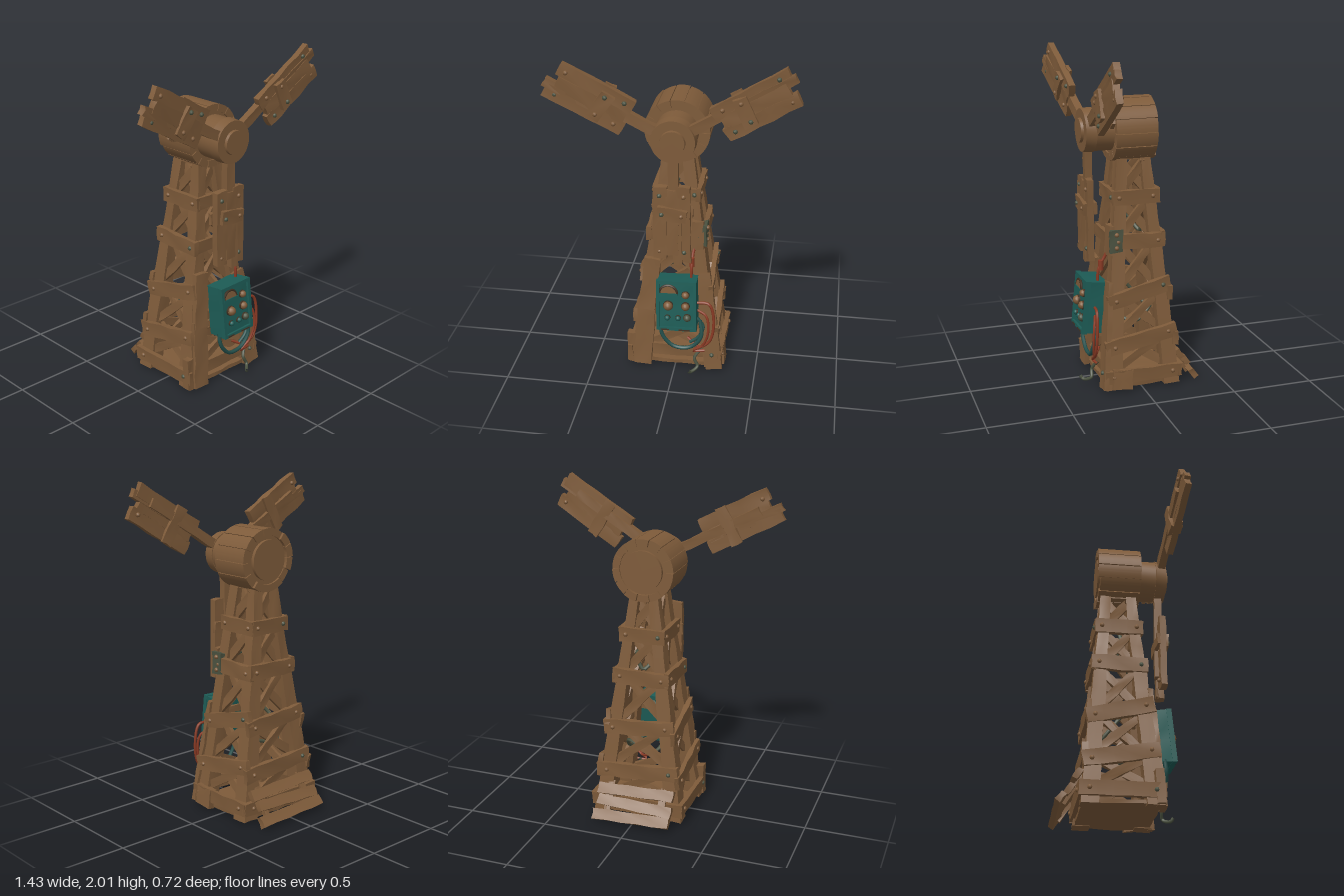
import * as THREE from 'three';
import { toCreasedNormals } from 'three/addons/utils/BufferGeometryUtils.js';

const V = (x, y, z) => new THREE.Vector3(x, y, z);
const material = (name, color) => {
  const m = new THREE.MeshStandardMaterial({ color });
  m.name = name;
  return m;
};

export function createModel() {
  const wood = material('weathered wood', 0x7e5b3a);
  const teal = material('teal paint', 0x1d5c56);
  const tealCable = material('teal cable', 0x24504c);
  const red = material('red cable', 0x8a3a24);
  const metal = material('patina metal', 0x4b5240);
  const dark = material('dark recess', 0x3f3022);
  const model = new THREE.Group();
  model.name = 'windmillTower';

  let seed = 7;
  const rand = () => { seed = (seed * 16807) % 2147483647; return seed / 2147483647 - 0.5; };

  function add(parent, name, geo, mat, pos) {
    const mesh = new THREE.Mesh(geo, mat);
    mesh.name = name;
    if (pos) mesh.position.copy(pos);
    parent.add(mesh);
    return mesh;
  }

  // worn surface: coincident corners get the same small offset
  function wear(geo, amount) {
    const p = geo.attributes.position, s = rand() * 50;
    const noise = (x, y, z, k) => Math.sin(x * 91 + y * 47 + z * 73 + s + k) * Math.cos(x * 37 - y * 83 + z * 59 + k * 2 + s);
    for (let i = 0; i < p.count; i++) {
      const x = p.getX(i), y = p.getY(i), z = p.getZ(i);
      p.setXYZ(i, x + amount * noise(x, y, z, 1), y + amount * noise(x, y, z, 2), z + amount * noise(x, y, z, 3));
    }
    return toCreasedNormals(geo, 0.6);
  }

  // plank between two points, its broad side facing "out"
  function beam(parent, name, a, b, width, thick, out) {
    const len = a.distanceTo(b);
    const geo = wear(new THREE.BoxGeometry(width, len, thick, 2, Math.max(2, Math.round(len / 0.09)), 1), 0.005);
    const y = b.clone().sub(a).normalize();
    const x = y.clone().cross(out).normalize();
    const z = x.clone().cross(y);
    const mesh = add(parent, name, geo, wood, a.clone().lerp(b, 0.5));
    mesh.quaternion.setFromRotationMatrix(new THREE.Matrix4().makeBasis(x, y, z));
    return mesh;
  }

  const boltGeo = new THREE.SphereGeometry(0.014, 8, 6);
  const bolt = (parent, pos, mat = wood) => add(parent, 'bolt', boltGeo, mat, pos);

  function cable(name, pts, r, mat) {
    const curve = new THREE.CatmullRomCurve3(pts.map(p => V(...p)));
    add(model, name, new THREE.TubeGeometry(curve, 32, r, 7), mat);
  }

  // tower taper: half width and half depth at a height
  const hx = y => 0.285 - 0.142 * y, hz = y => 0.232 - 0.092 * y;
  const normals = [V(0, 0, 1), V(1, 0, 0), V(0, 0, -1), V(-1, 0, 0)];
  const onFace = (k, u, y, off = 0) => {
    const s = k < 2 ? 1 : -1;
    return k % 2 ? V(s * (hx(y) + off), y, -s * u * hz(y)) : V(s * u * hx(y), y, s * (hz(y) + off));
  };

  // corner posts
  for (const sx of [1, -1]) for (const sz of [1, -1]) {
    const geo = new THREE.BoxGeometry(1, 1, 1, 2, 14, 2), p = geo.attributes.position;
    for (let i = 0; i < p.count; i++) {
      const y = (p.getY(i) + 0.5) * 1.42, w = 0.1 - 0.028 * y;
      p.setXYZ(i, sx * (hx(y) - w / 2) + p.getX(i) * w, y, sz * (hz(y) - w / 2) + p.getZ(i) * w);
    }
    add(model, 'cornerPost', wear(geo, 0.005), wood);
  }

  // horizontal bands: height, board width, tilt
  const bands = [[0.08, 0.08, 0.0], [0.29, 0.09, 0.04], [0.57, 0.09, 0.045], [0.88, 0.09, -0.005], [1.14, 0.085, 0.0]];
  bands.forEach(([y, w, tilt], level) => {
    for (let k = 1; k < 4; k++) {
      const t = k % 2 ? tilt : tilt * 0.4, e = 1 + 0.016 / (k % 2 ? hz(y) : hx(y));
      beam(model, 'band', onFace(k, -e, y - t, 0.005), onFace(k, e, y + t, 0.005), w, 0.03, normals[k]);
      for (const u of [-0.82, 0.82]) bolt(model, onFace(k, u, y + t * u, 0.018), (level + k) % 3 || u < 0 ? wood : metal);
    }
  });
  // front crosspieces set between the posts
  for (const [y, off] of [[0.095, -0.02], [0.88, 0], [1.14, 0]]) {
    beam(model, 'frontCrosspiece', onFace(0, -0.95, y, off), onFace(0, 0.97, y, off), 0.075, 0.03, normals[0]);
    bolt(model, onFace(0, 0.85, y, 0.016), metal);
  }

  // diagonal braces
  const levels = [0.1, 0.3, 0.57, 0.88, 1.14, 1.36];
  for (let i = 0; i < 5; i++) for (let k = 0; k < 4; k++) {
    if (k === 0 && i === 1) continue;
    const a = levels[i], b = levels[i + 1];
    beam(model, 'brace', onFace(k, -0.8, a, -0.03), onFace(k, 0.8, b, -0.03), 0.048, 0.024, normals[k]);
    beam(model, 'brace', onFace(k, 0.8, a, -0.055), onFace(k, -0.8, b, -0.055), 0.048, 0.024, normals[k]);
  }

  // front cladding and floor
  beam(model, 'frontBoard', V(-0.2, 0.0, 0.235), V(-0.175, 0.42, 0.2), 0.11, 0.03, normals[0]);
  beam(model, 'frontBoard', V(-0.175, 0.38, 0.205), V(-0.14, 0.72, 0.175), 0.1, 0.03, normals[0]);
  beam(model, 'frontBoard', V(0.25, 0.0, 0.235), V(0.16, 0.64, 0.18), 0.1, 0.03, normals[0]);
  beam(model, 'sidePatch', V(-0.265, 0.0, 0.21), V(-0.265, 0.2, 0.2), 0.06, 0.05, normals[0]);
  beam(model, 'sidePatch', V(0.285, 0.0, 0.14), V(0.27, 0.12, 0.13), 0.12, 0.05, normals[1]);
  add(model, 'floor', wear(new THREE.BoxGeometry(0.53, 0.025, 0.44, 8, 1, 8), 0.004), wood, V(0, 0.016, 0));
  add(model, 'topPlate', new THREE.BoxGeometry(0.17, 0.05, 0.2), wood, V(0, 1.38, 0));

  // loose planks leaning on the back
  const slope = V(0, 0.55, -0.83);
  [[0.03, -0.335, 0], [0.095, -0.29, -0.02], [0.165, -0.245, -0.005]].forEach(([y, z, s], i) => {
    const lean = i === 1 ? 0.01 : -0.008;
    beam(model, 'leaningPlank', V(-0.24, y - lean, z), V(0.25 + s, y + lean, z), 0.062, 0.034, slope);
  });
  for (const x of [-0.17, 0.17]) beam(model, 'plankSupport', V(x, 0.01, -0.315), V(x, 0.2, -0.205), 0.04, 0.02, slope);

  // barrel head
  const head = new THREE.Group();
  head.name = 'barrelHead';
  head.position.set(0, 1.53, 0);
  model.add(head);
  const disc = (name, r, z0, z1, r2 = r) => {
    const g = new THREE.CylinderGeometry(r2, r, z1 - z0, 32).rotateX(Math.PI / 2);
    return add(head, name, toCreasedNormals(g, 0.6), wood, V(0, 0, (z0 + z1) / 2));
  };
  disc('barrelCore', 0.178, -0.11, 0.122);
  disc('barrelBackPlate', 0.12, -0.13, -0.1);
  // curved staves with narrow gaps
  for (let i = 0; i < 14; i++) {
    const a = i / 14 * Math.PI * 2, b = a + Math.PI / 7 - 0.025, r = 0.189 + rand() * 0.006;
    const arc = new THREE.Shape();
    arc.absarc(0, 0, r, a, b, false);
    arc.absarc(0, 0, 0.145, b, a, true);
    const z0 = -0.125 + rand() * 0.016;
    const geo = new THREE.ExtrudeGeometry(arc, { depth: 0.132 - z0, bevelEnabled: false, curveSegments: 5 });
    add(head, 'stave', toCreasedNormals(geo, 0.6), wood, V(0, 0, z0));
  }
  // front hub
  disc('hub', 0.126, 0.1, 0.25);
  disc('hubRing', 0.132, 0.232, 0.296, 0.127);
  disc('hubCap', 0.076, 0.28, 0.312, 0.07);

  // sails: angle, forward tilt, sideways shift of the boards
  for (const [deg, tilt, shift] of [[32, 0.01, -0.043], [152, 0.065, 0], [270, 0, -0.01]]) {
    const turn = new THREE.Group();
    turn.name = 'sail';
    turn.position.set(0, 1.53, 0.262);
    turn.rotation.z = deg * Math.PI / 180;
    model.add(turn);
    const sail = new THREE.Group();
    sail.name = 'sailBoards';
    sail.rotation.y = -tilt;
    turn.add(sail);
    const out = V(0, 0, 1);
    beam(sail, 'spar', V(0.08, 0, -0.005), V(0.66, 0, -0.008), 0.056, 0.045, out);
    const boards = new THREE.Group();
    boards.name = 'boards';
    boards.position.y = shift;
    sail.add(boards);
    // ragged boards: start, end, offset, width
    for (const [x0, x1, y, w] of [[0.28, 0.765, 0.07, 0.08], [0.3, 0.72, 0.005, 0.08], [0.285, 0.745, -0.07, 0.08], [0.5, 0.785, 0.035, 0.05]])
      beam(boards, 'sailBoard', V(x0, y + rand() * 0.008, 0.005), V(x1, y + rand() * 0.01, 0.008 + rand() * 0.012), w, 0.038, out);
    beam(boards, 'sailClamp', V(0.44, -0.08, 0.03), V(0.46, 0.09, 0.03), 0.08, 0.03, out);
    beam(boards, 'sailClampBack', V(0.45, -0.12, -0.022), V(0.45, 0.12, -0.022), 0.07, 0.02, out);
    for (const [x, y, z, m] of [[0.45, -0.055, 0.043, metal], [0.455, 0.06, 0.043, wood], [0.34, 0.07, 0.022, wood], [0.34, -0.07, 0.022, metal],
      [0.7, 0.075, 0.022, metal], [0.7, -0.07, 0.022, wood], [0.7, -0.06, -0.014, wood]]) bolt(boards, V(x, y, z), m);
  }

  // control box
  const box = new THREE.Group();
  box.name = 'controlBox';
  box.position.set(0.024, 0.475, 0.255);
  box.rotation.set(-0.1, 0, 0.02);
  model.add(box);
  add(box, 'boxBody', wear(new THREE.BoxGeometry(0.235, 0.32, 0.115, 4, 5, 2), 0.003), teal);
  for (const s of [-1, 1]) {
    add(box, 'boxFrameSide', new THREE.BoxGeometry(0.02, 0.325, 0.03), teal, V(s * 0.111, 0, 0.057));
    add(box, 'boxFrameEnd', new THREE.BoxGeometry(0.235, 0.02, 0.03), teal, V(0, s * 0.152, 0.057));
    beam(box, 'boxMount', V(-0.13, s * 0.09, -0.065), V(0.13, s * 0.09, -0.065), 0.04, 0.02, V(0, 0, 1));
  }
  // chipped paint along the lower edge
  for (const [x, w] of [[-0.07, 0.05], [0.05, 0.07]]) add(box, 'paintChip', new THREE.BoxGeometry(w, 0.008, 0.004), dark, V(x, -0.156, 0.072));
  add(box, 'gauge', new THREE.CylinderGeometry(0.052, 0.052, 0.016, 18, 1, false, Math.PI / 2, Math.PI).rotateX(Math.PI / 2), wood, V(-0.048, 0.08, 0.062));
  add(box, 'gaugeRim', new THREE.TorusGeometry(0.052, 0.008, 6, 18, Math.PI), dark, V(-0.048, 0.08, 0.064));
  add(box, 'gaugeBase', new THREE.BoxGeometry(0.115, 0.012, 0.025), teal, V(-0.048, 0.078, 0.062));
  for (const [x, y, r, m] of [[-0.05, 0.0, 0.028, wood], [0.055, 0.075, 0.022, wood], [0.055, 0.0, 0.024, wood], [0.065, -0.075, 0.022, metal], [0.01, -0.08, 0.016, teal], [-0.055, -0.08, 0.016, teal]]) {
    add(box, 'knobBase', new THREE.CylinderGeometry(r * 1.1, r * 1.1, 0.02, 14).rotateX(Math.PI / 2), dark, V(x, y, 0.058));
    add(box, 'knob', new THREE.SphereGeometry(r, 12, 8), m, V(x, y, 0.068));
  }

  // cables
  cable('redCable', [[0.14, 0.48, 0.26], [0.215, 0.48, 0.27], [0.245, 0.38, 0.275], [0.22, 0.22, 0.28], [0.12, 0.14, 0.27], [0.19, 0.14, 0.26]], 0.009, red);
  cable('redCable', [[0.14, 0.43, 0.26], [0.2, 0.4, 0.28], [0.21, 0.27, 0.29], [0.16, 0.17, 0.27], [0.08, 0.2, 0.22]], 0.008, red);
  cable('redFeed', [[0.1, 0.62, 0.23], [0.102, 0.7, 0.225], [0.11, 0.8, 0.18], [0.14, 0.87, 0.16]], 0.009, red);
  add(model, 'feedPlug', new THREE.CylinderGeometry(0.016, 0.016, 0.06, 10), red, V(0.102, 0.73, 0.21));
  cable('tealCable', [[-0.08, 0.33, 0.27], [-0.07, 0.25, 0.28], [0.0, 0.17, 0.28], [0.1, 0.17, 0.28], [0.17, 0.25, 0.28], [0.16, 0.36, 0.26]], 0.012, tealCable);
  cable('tealCable', [[0.1, 0.2, 0.27], [0.15, 0.24, 0.27], [0.18, 0.31, 0.26], [0.14, 0.37, 0.25]], 0.01, tealCable);
  cable('groundHook', [[0.17, 0.15, 0.25], [0.13, 0.09, 0.28], [0.15, 0.04, 0.29], [0.11, 0.02, 0.33], [0.1, 0.04, 0.345]], 0.01, metal);
  cable('innerCable', [[0.12, 0.9, 0.12], [0.05, 0.97, 0.04], [0.07, 1.0, -0.04], [0.02, 0.9, -0.06], [-0.06, 1.05, 0.02], [0.0, 1.2, 0]], 0.012, metal);
  cable('innerCable', [[0.06, 0.4, 0.12], [0.12, 0.36, 0.0], [0.1, 0.44, -0.1], [-0.08, 0.4, -0.12], [-0.12, 0.55, 0.0], [0, 0.65, 0.06]], 0.011, metal);

  // junction fitting beside the front post
  add(model, 'junction', wear(new THREE.BoxGeometry(0.06, 0.13, 0.08, 2, 3, 2), 0.006), metal, V(0.155, 0.89, 0.135));
  beam(model, 'junctionBoard', V(0.13, 0.8, 0.17), V(0.13, 0.98, 0.16), 0.07, 0.03, normals[0]);
  for (const y of [0.85, 0.93]) bolt(model, V(0.185, y, 0.135));
  return model;
}
